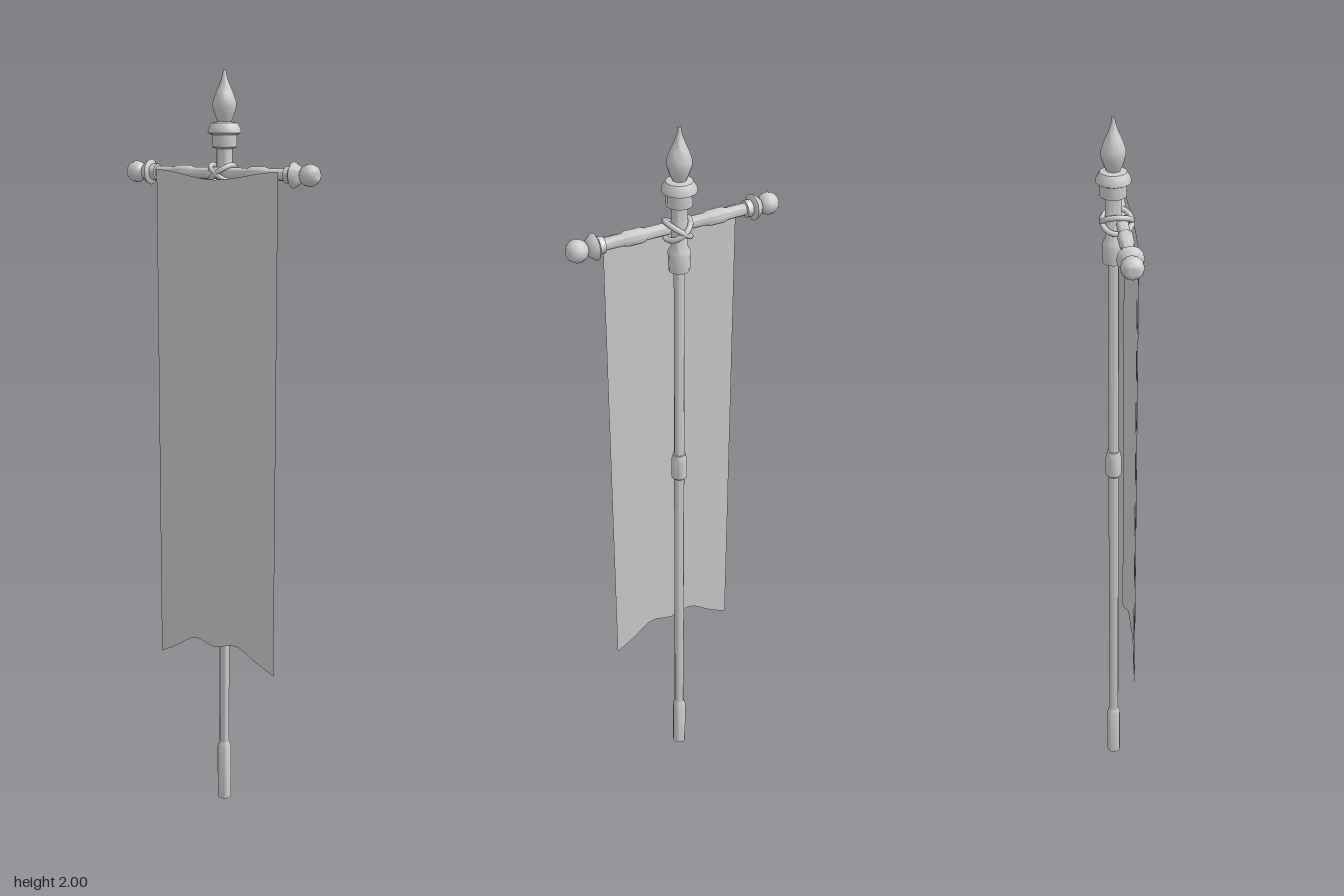
import * as THREE from 'three';
import { toCreasedNormals } from 'three/addons/utils/BufferGeometryUtils.js';

const POLE_Z = -0.006, BAR_Z = 0.014, BAR_Y = 1.745;

export function createModel() {
  const group = new THREE.Group();
  const grey = new THREE.MeshStandardMaterial({ color: 0xcccccc });
  const cloth = new THREE.MeshStandardMaterial({ color: 0xcccccc, side: THREE.DoubleSide });

  const add = (name, geometry, material = grey) => {
    const mesh = new THREE.Mesh(geometry, material);
    mesh.name = name;
    group.add(mesh);
    return mesh;
  };
  // turned part from [radius, height] pairs, bottom to top
  const turned = (points, sides = 12) => toCreasedNormals(
    new THREE.LatheGeometry(points.map(([r, y]) => new THREE.Vector2(r, y)), sides), 0.7);
  const onPole = (name, points) => { add(name, turned(points)).position.z = POLE_Z; };

  // pole and its fittings
  onPole('pole', [[0, 0.1], [0.0135, 0.1], [0.0135, 1.66], [0, 1.66]]);
  onPole('gripSleeve', [[0, 0], [0.019, 0], [0.019, 0.155], [0.0135, 0.17]]);
  onPole('middleRing', [[0.0135, 1.015], [0.021, 1.022], [0.021, 1.075], [0.017, 1.095], [0.0135, 1.095]]);
  onPole('upperSocket', [[0.0135, 1.64], [0.026, 1.64], [0.028, 1.69], [0.02, 1.705], [0.02, 1.815]]);
  onPole('finialCollar', [[0.02, 1.805], [0.032, 1.81], [0.032, 1.84], [0.043, 1.845],
    [0.041, 1.857], [0.033, 1.87], [0.016, 1.873]]);
  onPole('spearFinial', [[0.015, 1.868], [0.024, 1.888], [0.03, 1.907], [0.03, 1.922],
    [0.022, 1.945], [0.012, 1.967], [0.005, 1.988], [0.004, 2], [0, 2]]);

  // crossbar with two swellings, lying along x
  const half = [[0.015, 0], [0.015, 0.08], [0.019, 0.09], [0.019, 0.13], [0.015, 0.142], [0.015, 0.22]];
  const barProfile = [...half.slice(1).reverse().map(([r, y]) => [r, -y]), ...half];
  const bar = add('crossbar', turned(barProfile));
  bar.rotation.z = -Math.PI / 2;
  bar.position.set(0, BAR_Y, BAR_Z);

  // collar, flange and ball on each bar end
  const endProfile = [[0.015, 0.19], [0.021, 0.191], [0.021, 0.206], [0.026, 0.207], [0.033, 0.212],
    [0.031, 0.217], [0.019, 0.232], [0.014, 0.234]];
  for (let i = 0; i <= 8; i++) {
    const a = 0.5 + (Math.PI - 0.5) * i / 8;
    endProfile.push([Math.max(0, 0.028 * Math.sin(a)), 0.257 - 0.028 * Math.cos(a)]);
  }
  for (const [name, side] of [['leftBarEnd', 1], ['rightBarEnd', -1]]) {
    const end = add(name, turned(endProfile));
    end.rotation.z = -side * Math.PI / 2;
    end.position.set(0, BAR_Y, BAR_Z);
  }

  // crossed lashing round pole and bar
  for (const [name, side] of [['lashingA', 1], ['lashingB', -1]]) {
    const ring = new THREE.TorusGeometry(0.036, 0.007, 8, 20).rotateY(Math.PI / 2);
    const rope = add(name, ring);
    rope.rotation.z = side * 0.95;
    rope.position.set(0, BAR_Y, 0.003);
  }

  // hanging banner: gentle forward bow, sagging top and scalloped hem
  const nx = 16;
  const hem = new THREE.SplineCurve([[-1, 0.42], [-0.7, 0.448], [-0.36, 0.485], [0, 0.47],
    [0.36, 0.485], [0.7, 0.448], [1, 0.42]].map(([x, y]) => new THREE.Vector2(x, y)));
  const banner = new THREE.PlaneGeometry(2, 1, nx, 1);
  const pos = banner.attributes.position;
  for (let i = 0; i < pos.count; i++) {
    const p = hem.getPoint((i % (nx + 1)) / nx);
    const bow = (1 + Math.cos(p.x * Math.PI)) / 2;
    const top = 1.752 - 0.022 * bow;
    pos.setXYZ(i, p.x * 0.18, pos.getY(i) > 0 ? top : p.y, 0.037 + 0.008 * bow);
  }
  banner.computeVertexNormals();
  add('banner', banner, cloth);

  return group;
}
